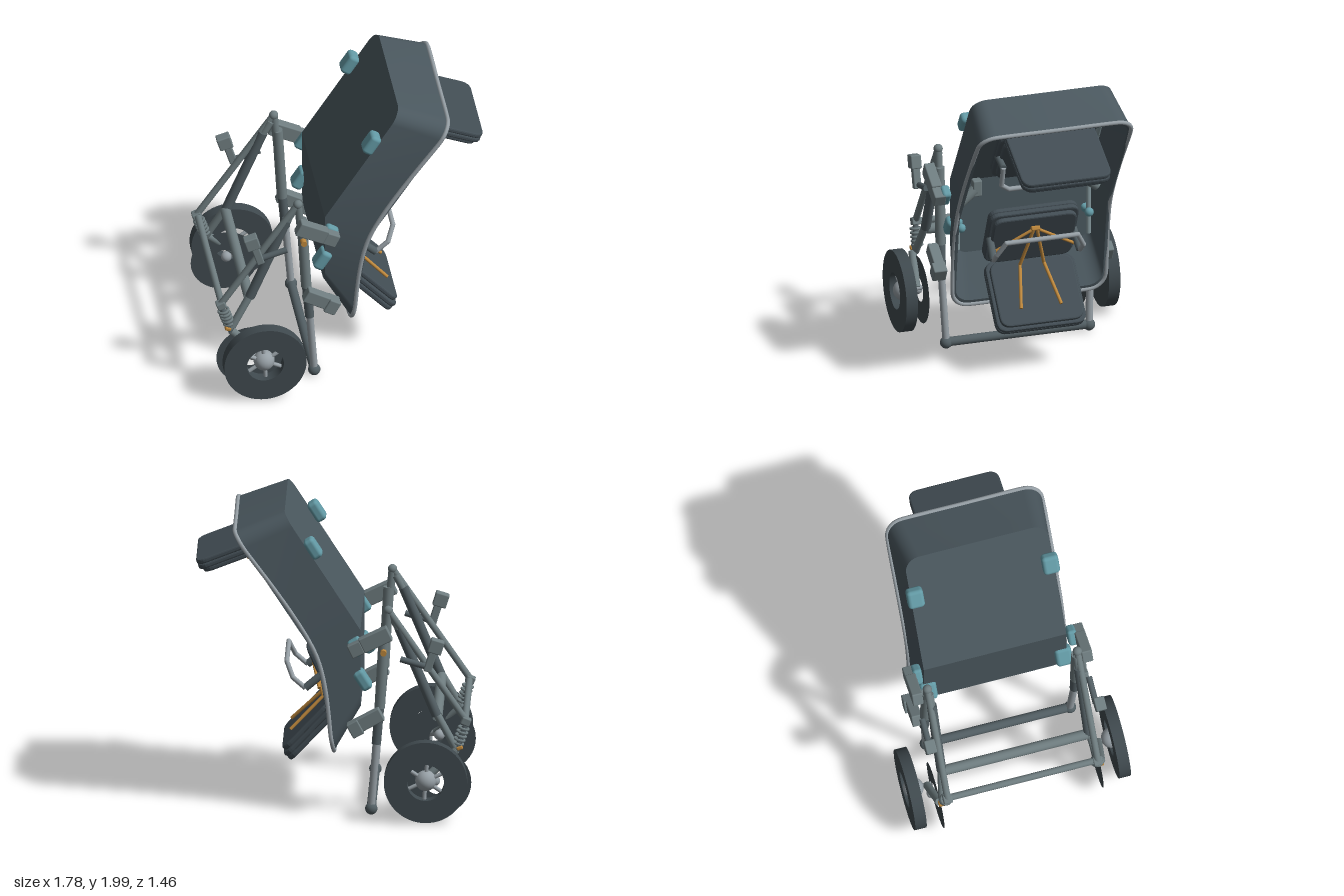
import * as THREE from 'three';
import { toCreasedNormals } from 'three/addons/utils/BufferGeometryUtils.js';
import { RoundedBoxGeometry } from 'three/addons/geometries/RoundedBoxGeometry.js';

const V = (x, y, z) => new THREE.Vector3(x, y, z);
const mat = (name, color, side = THREE.FrontSide) => {
  const m = new THREE.MeshStandardMaterial({ color, side });
  m.name = name;
  return m;
};

export function createModel() {
  const root = new THREE.Group();
  const slate = mat('slate shell', 0x4a575e, THREE.DoubleSide);
  const cushion = mat('dark cushion', 0x424d54);
  const rubber = mat('dark rubber', 0x3f494e, THREE.DoubleSide);
  const frame = mat('frame grey', 0x6f7d80);
  const darkTube = mat('dark tube', 0x525e63);
  const silver = mat('silver', 0x969fa5);
  const teal = mat('teal', 0x639aa5);
  const orange = mat('orange', 0xbd873c);
  const pale = mat('pale strip', 0x82959a);

  const add = (name, geo, material, parent = root) => {
    const m = new THREE.Mesh(geo, material);
    m.name = name;
    parent.add(m);
    return m;
  };
  const rod = (name, a, b, r, material, parent, r2 = r) => {
    const d = b.clone().sub(a);
    const m = add(name, new THREE.CylinderGeometry(r2, r, d.length(), 16), material, parent);
    m.position.copy(a).lerp(b, 0.5);
    m.quaternion.setFromUnitVectors(V(0, 1, 0), d.normalize());
    return m;
  };
  const ball = (name, p, r, material, parent) => {
    const m = add(name, new THREE.SphereGeometry(r, 20, 14), material, parent);
    m.position.copy(p);
    return m;
  };
  // box lying in the side plane, turned about z
  const block = (name, x, y, z, sx, sy, sz, angle, material, parent, r = 0.008) => {
    const m = add(name, new RoundedBoxGeometry(sx, sy, sz, 2, r), material, parent);
    m.position.set(x, y, z);
    m.rotation.z = angle;
    return m;
  };
  const chain = (name, pts, r, material, parent) => {
    for (let i = 0; i < pts.length - 1; i++) {
      rod(name, pts[i], pts[i + 1], r, material, parent);
      if (i) ball(name + 'Joint', pts[i], r, material, parent);
    }
  };

  // ---- shell: bent tub lofted between a back outline and a rim outline
  const path = (lo, mid, hi) => (v, z) => v < 0
    ? V(lo[0] + (mid[0] - lo[0]) * (v + 1), lo[1] + (mid[1] - lo[1]) * (v + 1), z)
    : V(mid[0] + (hi[0] - mid[0]) * v, mid[1] + (hi[1] - mid[1]) * v, z);
  const outline = (curve, w, r, lowLen, highLen) => {
    const half = [[-1, 0]];
    for (let i = 0; i <= 6; i++) {
      const a = i / 6 * Math.PI / 2;
      half.push([-1 + (1 - Math.cos(a)) * r / lowLen, w - r + r * Math.sin(a)]);
    }
    half.push([0, w]);
    for (let i = 6; i >= 0; i--) {
      const a = i / 6 * Math.PI / 2;
      half.push([1 - (1 - Math.cos(a)) * r / highLen, w - r + r * Math.sin(a)]);
    }
    half.push([1, 0]);
    const mirror = half.slice(1, -1).reverse().map(([v, z]) => [v, -z]);
    return [...half, ...mirror].map(([v, z]) => curve(v, z));
  };
  const flat = row => row.map(p => V(p.x, p.y, 0));
  const back = outline(path([-0.18, 0.70], [-0.18, 1.23], [0.31, 1.995]), 0.475, 0.1, 0.53, 0.91);
  const rim = outline(path([-0.01, 0.41], [0.10, 1.06], [0.63, 1.87]), 0.515, 0.11, 0.66, 0.97);
  const rimIn = outline(path([0.0, 0.44], [0.10, 1.06], [0.61, 1.845]), 0.495, 0.1, 0.63, 0.94);
  const backIn = outline(path([-0.155, 0.71], [-0.155, 1.22], [0.315, 1.96]), 0.455, 0.09, 0.51, 0.88);
  const rows = [flat(back), back, rim, rimIn, backIn, flat(backIn)];
  const tri = [];
  for (let i = 0; i < rows.length - 1; i++) {
    for (let j = 0; j < back.length; j++) {
      const k = (j + 1) % back.length;
      const [a, b, c, d] = [rows[i][j], rows[i + 1][j], rows[i + 1][k], rows[i][k]];
      for (const p of [a, b, c, a, c, d]) tri.push(p.x, p.y, p.z);
    }
  }
  const shellGeo = new THREE.BufferGeometry();
  shellGeo.setAttribute('position', new THREE.Float32BufferAttribute(tri, 3));
  shellGeo.computeVertexNormals();
  add('shell', toCreasedNormals(shellGeo, 0.45), slate);
  const rimCurve = new THREE.CatmullRomCurve3(rim, true, 'centripetal');
  add('rimTrim', new THREE.TubeGeometry(rimCurve, 200, 0.014, 8, true), silver);

  // ---- seats
  const slabGeo = (len, width, t) => {
    const b = 0.01, r = 0.06, x = len / 2 - b, y = width / 2 - b;
    const s = new THREE.Shape();
    s.moveTo(-x + r, -y).lineTo(x - r, -y).quadraticCurveTo(x, -y, x, -y + r);
    s.lineTo(x, y - r).quadraticCurveTo(x, y, x - r, y);
    s.lineTo(-x + r, y).quadraticCurveTo(-x, y, -x, y - r);
    s.lineTo(-x, -y + r).quadraticCurveTo(-x, -y, -x + r, -y);
    const g = new THREE.ExtrudeGeometry(s, {
      depth: t - 2 * b, bevelEnabled: true, bevelSize: b, bevelThickness: b, bevelSegments: 2, curveSegments: 6,
    });
    return g.translate(0, 0, b).rotateX(-Math.PI / 2);
  };
  const slab = (name, x, y, angle, len, up) => {
    const g = new THREE.Group();
    g.name = name;
    [[0, 0.6, 0], [0, 0.6, 0.034], [0.04, 0.56, 0.066]].forEach(([cut, w, h]) => {
      const m = add(name + 'Layer', slabGeo(len - cut, w, 0.034), cushion, g);
      m.position.y = up > 0 ? h - 0.05 : 0.016 - h;
    });
    g.position.set(x, y, 0);
    g.rotation.z = angle;
    root.add(g);
  };
  slab('lowerSeat', 0.147, 0.505, -0.82, 0.48, 1);
  slab('lowerSeatBack', 0.05, 0.89, 1.15, 0.44, -1);
  slab('upperSeat', 0.627, 1.678, -0.375, 0.52, -1);
  slab('upperSeatBack', 0.245, 1.555, 1.01, 0.44, -1);

  // ---- seat bars and harnesses
  chain('lowerBar', [V(0.18, 0.79, 0.29), V(0.26, 0.86, 0.29), V(0.30, 0.955, 0.24),
    V(0.30, 0.955, -0.24), V(0.26, 0.86, -0.29), V(0.18, 0.79, -0.29)], 0.016, silver);
  chain('upperBar', [V(0.38, 1.53, 0.285), V(0.34, 1.39, 0.285), V(0.315, 1.345, 0.23),
    V(0.315, 1.345, -0.23), V(0.34, 1.39, -0.285), V(0.38, 1.53, -0.285)], 0.016, silver);
  block('lowerBuckle', 0.15, 0.965, 0, 0.03, 0.03, 0.06, 0.4, orange);
  block('upperBuckle', 0.28, 1.48, 0, 0.04, 0.04, 0.06, 1.0, orange);
  for (const s of [1, -1]) {
    rod('lowerBarGrip', V(0.06, 0.89, s * 0.28), V(0.18, 0.79, s * 0.29), 0.025, darkTube);
    rod('upperBarGrip', V(0.24, 1.55, s * 0.28), V(0.38, 1.53, s * 0.285), 0.022, darkTube);
    chain('lowerStrap', [V(0.15, 0.96, s * 0.01), V(0.07, 0.68, s * 0.08), V(0.28, 0.47, s * 0.135)], 0.011, orange);
    rod('lowerSideStrap', V(0.15, 0.96, s * 0.01), V(0.09, 0.79, s * 0.29), 0.01, orange);
    chain('upperStrap', [V(0.28, 1.48, s * 0.01), V(0.45, 1.69, s * 0.08), V(0.72, 1.575, s * 0.13)], 0.011, orange);
    chain('upperSideStrap', [V(0.28, 1.48, s * 0.01), V(0.40, 1.66, s * 0.16), V(0.55, 1.645, s * 0.25)], 0.01, orange);
  }

  // ---- everything that repeats on both sides
  for (const s of [1, -1]) {
    const side = new THREE.Group();
    side.name = s > 0 ? 'frontSide' : 'backSide';
    root.add(side);
    const P = (x, y, z) => V(x, y, s * z);

    // shell fittings
    block('upperPad', 0.125, 1.77, s * 0.45, 0.075, 0.14, 0.11, -0.57, teal, side, 0.025);
    block('lowerPad', -0.195, 0.895, s * 0.45, 0.075, 0.14, 0.11, -0.57, teal, side, 0.025);
    block('hingePad', -0.16, 1.13, s * 0.515, 0.09, 0.12, 0.06, -0.57, teal, side, 0.02);
    ball('innerKnob', P(-0.08, 0.92, 0.43), 0.03, teal, side);
    rod('lowerStrip', P(-0.13, 0.75, 0.44), P(-0.13, 1.22, 0.44), 0.016, pale, side);
    rod('upperStrip', P(-0.11, 1.25, 0.44), P(0.25, 1.82, 0.44), 0.016, pale, side);
    rod('innerLever', P(0.0, 1.14, 0.46), P(0.0, 1.22, 0.36), 0.035, frame, side);
    block('innerLeverHead', 0, 1.235, s * 0.35, 0.06, 0.11, 0.06, 0, frame, side);

    // brackets joining shell and frame
    block('upperBracket', -0.28, 1.195, s * 0.565, 0.2, 0.1, 0.07, -0.45, frame, side);
    block('upperBracketEnd', -0.155, 1.13, s * 0.56, 0.09, 0.09, 0.08, -0.45, frame, side);
    block('lowerBracket', -0.24, 0.655, s * 0.555, 0.18, 0.09, 0.07, -0.5, frame, side);
    block('lowerBracketEnd', -0.15, 0.6, s * 0.56, 0.08, 0.1, 0.09, -0.5, frame, side);
    rod('bracketPin', P(-0.33, 1.1, 0.5), P(-0.33, 1.1, 0.57), 0.02, orange, side);

    // front prop leg
    rod('propLeg', P(-0.36, 1.38, 0.5), P(-0.325, 1.0, 0.5), 0.025, frame, side);
    rod('propLegSleeve', P(-0.335, 1.25, 0.5), P(-0.305, 0.72, 0.5), 0.034, frame, side);
    rod('propLegLower', P(-0.305, 0.74, 0.5), P(-0.283, 0.48, 0.5), 0.03, darkTube, side);
    rod('propLegFoot', P(-0.283, 0.49, 0.5), P(-0.25, 0.05, 0.48), 0.024, silver, side);
    ball('propFootEnd', P(-0.25, 0.042, 0.48), 0.04, darkTube, side);
    ball('apexJoint', P(-0.36, 1.37, 0.5), 0.03, frame, side);

    // rear leg, damper and spring
    rod('rearLeg', P(-0.36, 1.37, 0.5), P(-0.86, 0.64, 0.5), 0.022, frame, side);
    rod('damper', P(-0.38, 1.33, 0.49), P(-0.44, 1.22, 0.49), 0.024, frame, side);
    rod('damperSleeve', P(-0.43, 1.25, 0.49), P(-0.67, 0.67, 0.49), 0.032, darkTube, side);
    rod('damperEnd', P(-0.66, 0.7, 0.49), P(-0.80, 0.45, 0.52), 0.025, frame, side);
    block('rearKnuckle', -0.86, 0.635, s * 0.5, 0.06, 0.05, 0.06, 0.4, frame, side);
    rod('springCore', P(-0.86, 0.62, 0.5), P(-0.80, 0.44, 0.53), 0.018, darkTube, side);
    for (let i = 0; i < 5; i++) {
      const c = add('springCoil', new THREE.TorusGeometry(0.032, 0.009, 8, 18), frame, side);
      c.position.set(-0.845 + i * 0.009, 0.59 - i * 0.025, s * 0.505);
      c.rotation.set(Math.PI / 2, 0.3, 0);
    }
    block('springPin', -0.82, 0.465, s * 0.53, 0.04, 0.025, 0.04, -0.3, orange, side);
    rod('swingArm', P(-0.80, 0.45, 0.54), P(-0.61, 0.28, 0.57), 0.026, frame, side);

    // push handle
    block('handleHead', -0.67, 1.15, s * 0.565, 0.09, 0.09, 0.07, 0.3, frame, side);
    block('handleStem', -0.635, 1.06, s * 0.565, 0.05, 0.16, 0.05, 0.3, frame, side);
    rod('handleTube', P(-0.61, 1.01, 0.555), P(-0.44, 1.06, 0.555), 0.02, darkTube, side);

    // wheel: ring tyre, round hub, spokes and inner disc
    const ring = new THREE.Shape().absarc(0, 0, 0.268, 0, Math.PI * 2);
    ring.holes.push(new THREE.Path().absarc(0, 0, 0.12, 0, Math.PI * 2, true));
    const tyre = toCreasedNormals(new THREE.ExtrudeGeometry(ring, {
      depth: 0.076, bevelEnabled: false, curveSegments: 32,
    }), 0.6);
    add('tyre', tyre, rubber, side).position.set(-0.605, 0.28, s * 0.68 - 0.038);
    ball('hub', P(-0.605, 0.28, 0.66), 0.068, silver, side);
    for (let i = 0; i < 6; i++) {
      const a = i * Math.PI / 3 + 0.6;
      rod('spoke', P(-0.605, 0.28, 0.67),
        P(-0.605 + 0.13 * Math.cos(a), 0.28 + 0.13 * Math.sin(a), 0.67), 0.013, silver, side);
    }
    rod('axle', P(-0.605, 0.28, 0.54), P(-0.605, 0.28, 0.68), 0.014, silver, side);
    add('innerDisc', new THREE.RingGeometry(0.08, 0.22, 40), rubber, side).position.set(-0.675, 0.235, s * 0.53);
    ball('innerHub', P(-0.66, 0.25, 0.55), 0.035, silver, side);
  }

  // ---- cross tubes
  rod('footBar', V(-0.25, 0.045, -0.48), V(-0.25, 0.045, 0.48), 0.03, darkTube);
  rod('rearBar', V(-0.855, 0.635, -0.5), V(-0.855, 0.635, 0.5), 0.022, frame);
  rod('middleBar', V(-0.675, 0.66, -0.48), V(-0.675, 0.66, 0.48), 0.034, frame);
  return root;
}
